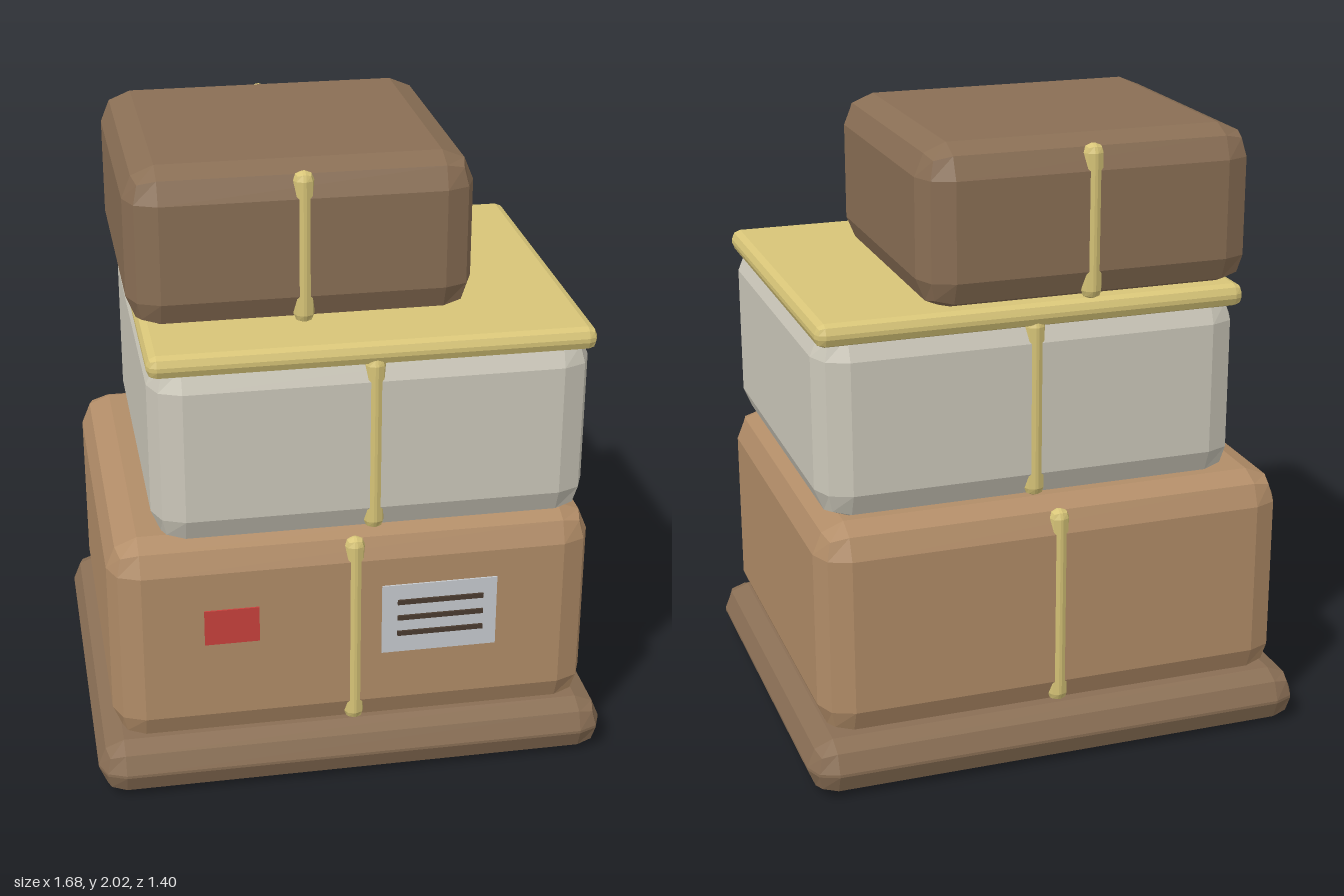
import * as THREE from 'three';
import { RoundedBoxGeometry } from 'three/addons/geometries/RoundedBoxGeometry.js';

const mat = (color) => new THREE.MeshStandardMaterial({ color, flatShading: true });
const darkCard = mat(0x8a6f55), card = mat(0xb28d68), pale = mat(0xcdc9bb);
const tape = mat(0xd8c578), red = mat(0xc9423d), paper = mat(0xc8ccd0), ink = mat(0x4a3b30);

// One facet step per bevel leaves the flat faces short of the nominal size
const SHORTFALL = 1 - 3 / Math.sqrt(11);

// Bevelled block given by its bounds on each axis
function block(name, material, [x0, x1], [y0, y1], [z0, z1], radius) {
  const grow = 2 * radius * SHORTFALL;
  const geometry = new RoundedBoxGeometry(x1 - x0 + grow, y1 - y0 + grow, z1 - z0 + grow, 1, radius);
  const mesh = new THREE.Mesh(geometry, material);
  mesh.position.set((x0 + x1) / 2, (y0 + y1) / 2, (z0 + z1) / 2);
  mesh.name = name;
  return mesh;
}

// Box with a vertical strap set into its front and back
function strappedBox(name, material, xs, ys, zs, strapX, strapYs) {
  const group = new THREE.Group();
  group.name = name;
  group.add(block(name + 'Body', material, xs, ys, zs, 0.1));
  const sx = [strapX - 0.03, strapX + 0.03];
  group.add(block('frontStrap', tape, sx, strapYs, [zs[1] - 0.045, zs[1] + 0.012], 0.028));
  group.add(block('backStrap', tape, sx, strapYs, [zs[0] - 0.012, zs[0] + 0.045], 0.028));
  return group;
}

// Thin sharp-edged panel on the front
function panel(name, material, [x0, x1], [y0, y1], [z0, z1]) {
  const mesh = new THREE.Mesh(new THREE.BoxGeometry(x1 - x0, y1 - y0, z1 - z0), material);
  mesh.position.set((x0 + x1) / 2, (y0 + y1) / 2, (z0 + z1) / 2);
  mesh.name = name;
  return mesh;
}

export function createModel() {
  const model = new THREE.Group();
  model.name = 'stackedBoxes';

  // Base and the three boxes
  model.add(block('base', darkCard, [-0.83, 0.83], [0, 0.163], [-0.693, 0.693], 0.085));
  model.add(strappedBox('bottomBox', card, [-0.77, 0.77], [0.165, 0.86], [-0.625, 0.635], 0, [0.183, 0.845]));
  model.add(strappedBox('middleBox', pale, [-0.622, 0.742], [0.865, 1.475], [-0.555, 0.63], 0.06, [0.88, 1.46]));
  model.add(block('middleLid', tape, [-0.632, 0.752], [1.437, 1.505], [-0.568, 0.638], 0.03));
  model.add(strappedBox('topBox', darkCard, [-0.657, 0.407], [1.505, 2], [-0.553, 0.428], -0.125, [1.507, 1.988]));

  // Labels on the bottom box
  const labels = new THREE.Group();
  labels.name = 'labels';
  labels.add(panel('redSticker', red, [-0.485, -0.31], [0.518, 0.64], [0.625, 0.65]));
  labels.add(panel('addressLabel', paper, [0.085, 0.46], [0.43, 0.675], [0.625, 0.65]));
  for (const y of [0.5, 0.557, 0.614]) {
    labels.add(panel('labelLine', ink, [0.135, 0.415], [y - 0.008, y + 0.008], [0.64, 0.657]));
  }
  model.add(labels);
  return model;
}
